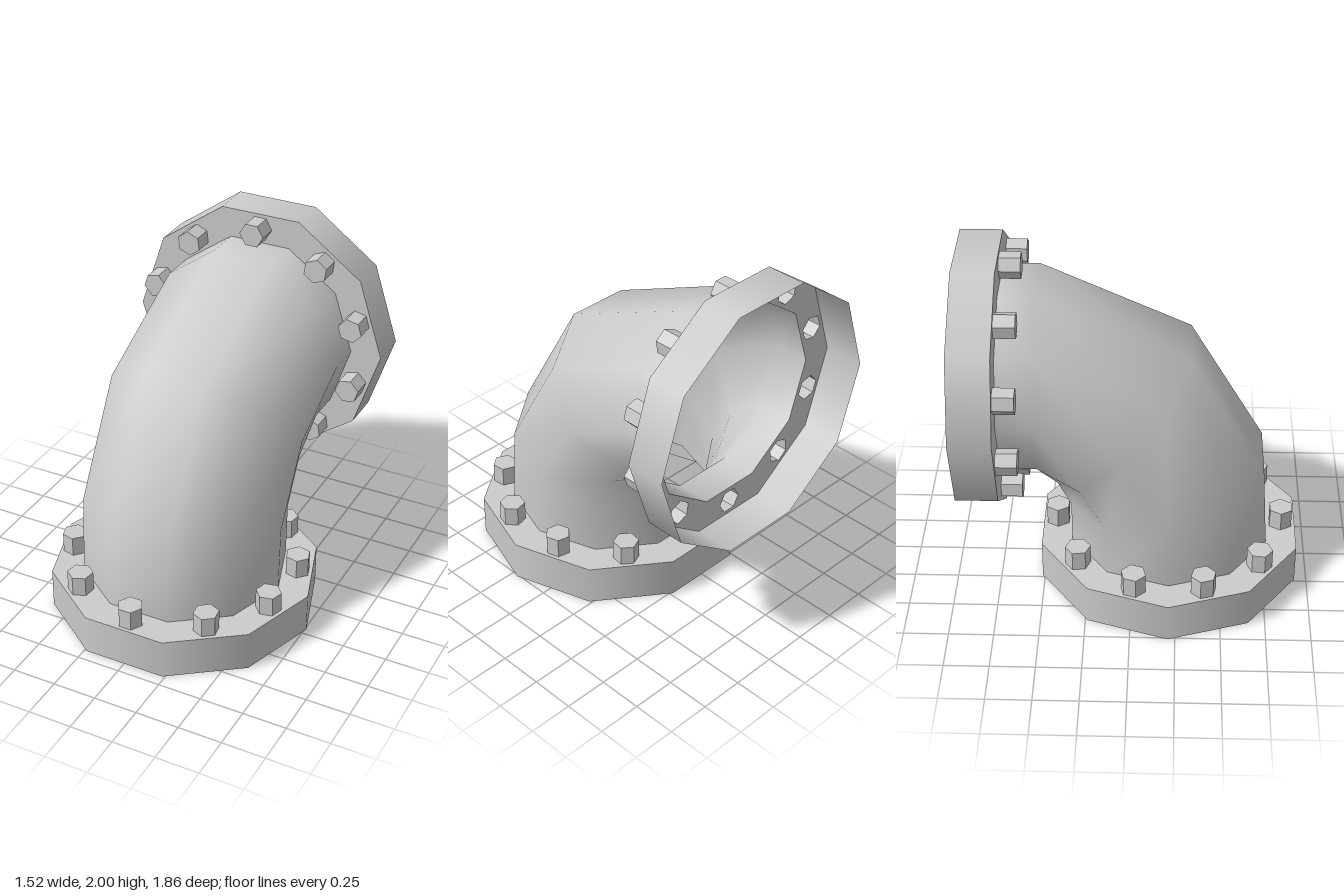
import * as THREE from 'three';

const SIDES = 10;
const PIPE_R = 0.58;
const FLANGE_R = 0.76, FLANGE_H = 0.23;
const BOLT_R = 0.072, BOLT_H = 0.115, BOLT_CIRCLE = 0.64;
const BOLT_ANGLES = [90, 52.5, 17.5, -17.5, -52.5, -90, -127.5, -162.5, 162.5, 127.5]
  .map(THREE.MathUtils.degToRad);

const smooth = new THREE.MeshStandardMaterial({ color: 0xcccccc, side: THREE.DoubleSide });
const faceted = new THREE.MeshStandardMaterial({ color: 0xcccccc, side: THREE.DoubleSide, flatShading: true });

function mesh(name, geometry, material) {
  const m = new THREE.Mesh(geometry, material);
  m.name = name;
  return m;
}

// Corners of a regular polygon
function polygon(sides, radius, start = 0, cx = 0, cy = 0) {
  return Array.from({ length: sides }, (_, i) => {
    const a = start + (i / sides) * Math.PI * 2;
    return new THREE.Vector2(cx + radius * Math.cos(a), cy + radius * Math.sin(a));
  });
}

// Bent pipe: ten-sided rings [y, z, tilt in degrees] joined into a smooth open tube
function elbowGeometry() {
  const rings = [
    [0.23, 0.21, 0],
    [0.61, 0.194, 13.3],
    [1.04, -0.05, 48.5],
    [1.277, -0.5, 90],
    [1.277, -0.7, 90],
  ];
  const positions = [], index = [];
  rings.forEach(([cy, cz, tilt], i) => {
    const t = THREE.MathUtils.degToRad(tilt);
    polygon(SIDES, PIPE_R).forEach((p, k) => {
      positions.push(p.x, cy + p.y * Math.sin(t), cz + p.y * Math.cos(t));
      if (i === rings.length - 1) return;
      const a = i * SIDES + k, b = i * SIDES + (k + 1) % SIDES;
      index.push(a, a + SIDES, b, b, a + SIDES, b + SIDES);
    });
  });
  const g = new THREE.BufferGeometry();
  g.setAttribute('position', new THREE.Float32BufferAttribute(positions, 3));
  g.setIndex(index);
  g.computeVertexNormals();
  return g;
}

// Flange: open skirt, ring plate with bolt holes, hollow hex bolts; +y points to the pipe
function flange(name) {
  const group = new THREE.Group();
  group.name = name;

  const wall = new THREE.CylinderGeometry(FLANGE_R, FLANGE_R, FLANGE_H, SIDES, 1, true, Math.PI / 2);
  wall.translate(0, FLANGE_H / 2, 0);
  group.add(mesh('flangeWall', wall, smooth));

  const shape = new THREE.Shape(polygon(SIDES, FLANGE_R));
  shape.holes.push(new THREE.Path(polygon(SIDES, PIPE_R)));
  for (const a of BOLT_ANGLES) {
    shape.holes.push(new THREE.Path(polygon(6, BOLT_R, a + Math.PI / 6,
      BOLT_CIRCLE * Math.cos(a), BOLT_CIRCLE * Math.sin(a))));
  }
  const plate = new THREE.ShapeGeometry(shape);
  plate.rotateX(-Math.PI / 2);
  plate.translate(0, FLANGE_H, 0);
  group.add(mesh('flangePlate', plate, faceted));

  const boltGeometry = new THREE.LatheGeometry([
    new THREE.Vector2(BOLT_R, 0),
    new THREE.Vector2(BOLT_R, BOLT_H),
    new THREE.Vector2(0, BOLT_H),
  ], 6);
  for (const a of BOLT_ANGLES) {
    const bolt = mesh('bolt', boltGeometry, faceted);
    bolt.position.set(BOLT_CIRCLE * Math.cos(a), FLANGE_H, -BOLT_CIRCLE * Math.sin(a));
    bolt.rotation.y = a;
    group.add(bolt);
  }
  return group;
}

export function createModel() {
  const model = new THREE.Group();
  model.name = 'pipeElbow';

  model.add(mesh('elbowPipe', elbowGeometry(), smooth));

  const lower = flange('lowerFlange');
  lower.position.set(0, 0, 0.21);
  model.add(lower);

  const upper = flange('rearFlange');
  upper.rotation.x = Math.PI / 2;
  upper.position.set(0, 1.277, -0.93);
  model.add(upper);

  return model;
}
